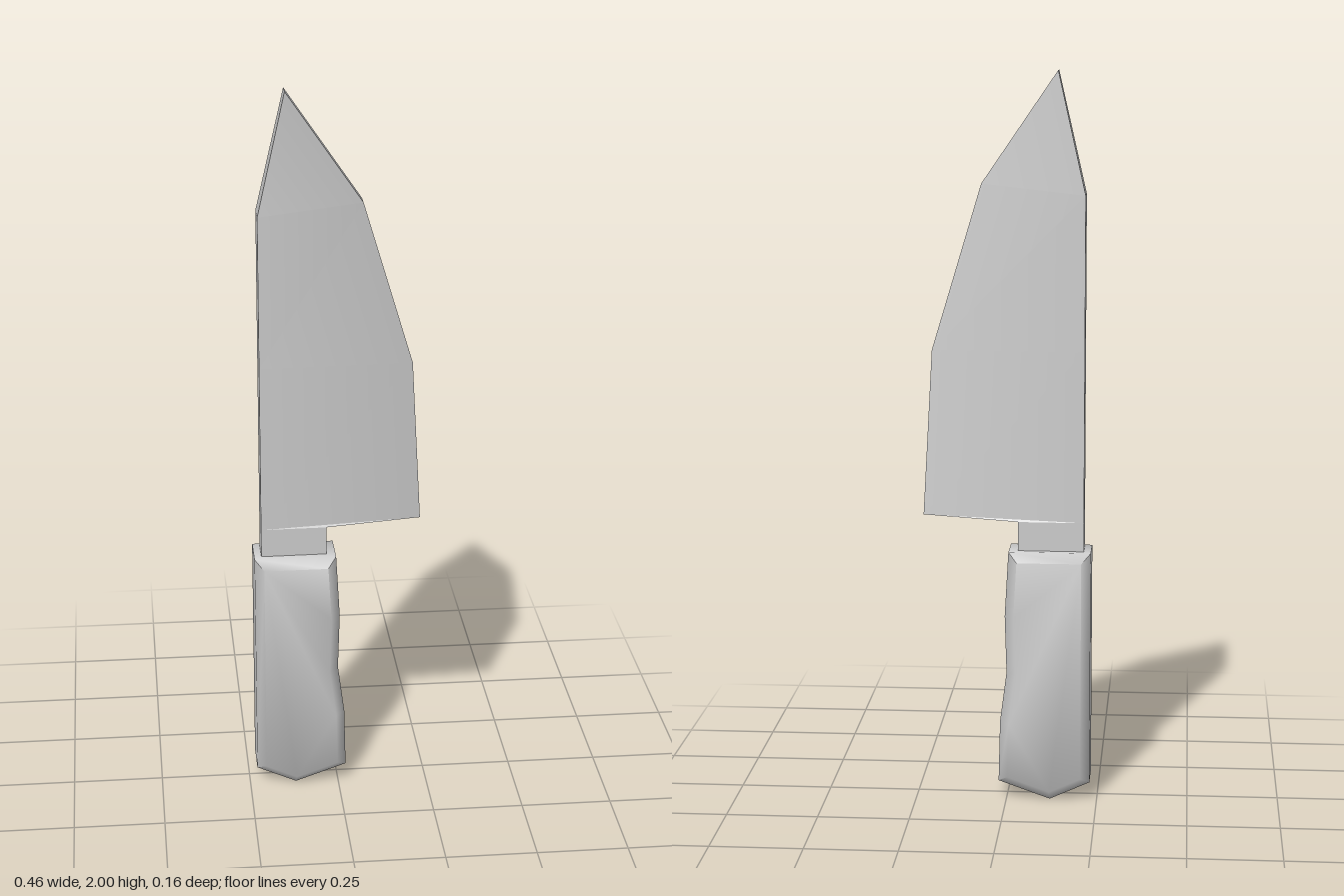
import * as THREE from 'three';
import { toCreasedNormals } from 'three/addons/utils/BufferGeometryUtils.js';

const steel = new THREE.MeshStandardMaterial({ color: 0xcccccc });
const grip = new THREE.MeshStandardMaterial({ color: 0xcccccc });

// Blade cross-sections from tang to tip: spine and cutting edge as [x, y, half thickness]
const sections = [
  { spine: [-0.21, 0.68, 0.035], edge: [-0.03, 0.68, 0.033] },
  { spine: [-0.21, 0.78, 0.035], edge: [-0.03, 0.78, 0.033] },
  { spine: [-0.21, 0.78, 0.035], edge: [0.23, 0.795, 0.022] },
  { spine: [-0.21, 1.25, 0.035], edge: [0.205, 1.25, 0.022] },
  { spine: [-0.21, 1.67, 0.035], edge: [0.07, 1.7, 0.023] },
  { spine: [-0.135, 2, 0.023], edge: [-0.135, 2, 0.023] },
];

function createBlade() {
  const positions = [];
  const normals = [];
  const at = ([x, y, half], side) => new THREE.Vector3(x, y, half * side);

  // Adds a triangle; the normals of the cutting edge corners lean outwards on the broad faces
  function triangle(corners, lean) {
    const [a, b, c] = corners.map((k) => k.point);
    const flat = b.clone().sub(a).cross(c.clone().sub(a));
    if (flat.length() < 1e-7) return;
    flat.normalize();
    for (const { point, isEdge } of corners) {
      const n = flat.clone();
      if (lean && isEdge) n.add(new THREE.Vector3(0.4, 0.08, 0)).normalize();
      positions.push(...point.toArray());
      normals.push(...n.toArray());
    }
  }

  // Walls between neighbouring sections: front, cutting edge, back, spine
  const ring = (s) => [
    { point: at(s.spine, 1) },
    { point: at(s.edge, 1), isEdge: true },
    { point: at(s.edge, -1), isEdge: true },
    { point: at(s.spine, -1) },
  ];
  for (let i = 0; i < sections.length - 1; i++) {
    const low = ring(sections[i]);
    const high = ring(sections[i + 1]);
    for (let j = 0; j < 4; j++) {
      const k = (j + 1) % 4;
      const lean = j % 2 === 0 && i > 1;
      triangle([low[j], low[k], high[k]], lean);
      triangle([low[j], high[k], high[j]], lean);
    }
  }

  const geometry = new THREE.BufferGeometry();
  geometry.setAttribute('position', new THREE.Float32BufferAttribute(positions, 3));
  geometry.setAttribute('normal', new THREE.Float32BufferAttribute(normals, 3));
  const blade = new THREE.Mesh(geometry, steel);
  blade.name = 'blade';
  return blade;
}

function createHandle() {
  // Side outline with finger grooves and a pointed butt
  const outline = [
    [-0.23, 0.7], [-0.23, 0.05], [-0.12, 0], [0.022, 0.05],
    [0.018, 0.22], [0, 0.36], [0.005, 0.52], [-0.005, 0.7],
  ].map(([x, y]) => new THREE.Vector2(x, y));
  const bevel = 0.025;
  const depth = 0.106;
  const geometry = new THREE.ExtrudeGeometry(new THREE.Shape(outline), {
    depth,
    bevelEnabled: true,
    bevelSegments: 1,
    bevelSize: bevel,
    bevelOffset: -bevel,
    bevelThickness: bevel,
  });
  geometry.translate(0, 0, -depth / 2);
  const handle = new THREE.Mesh(toCreasedNormals(geometry, THREE.MathUtils.degToRad(50)), grip);
  handle.name = 'handle';
  return handle;
}

export function createModel() {
  const knife = new THREE.Group();
  knife.name = 'knife';
  knife.add(createBlade(), createHandle());
  return knife;
}
